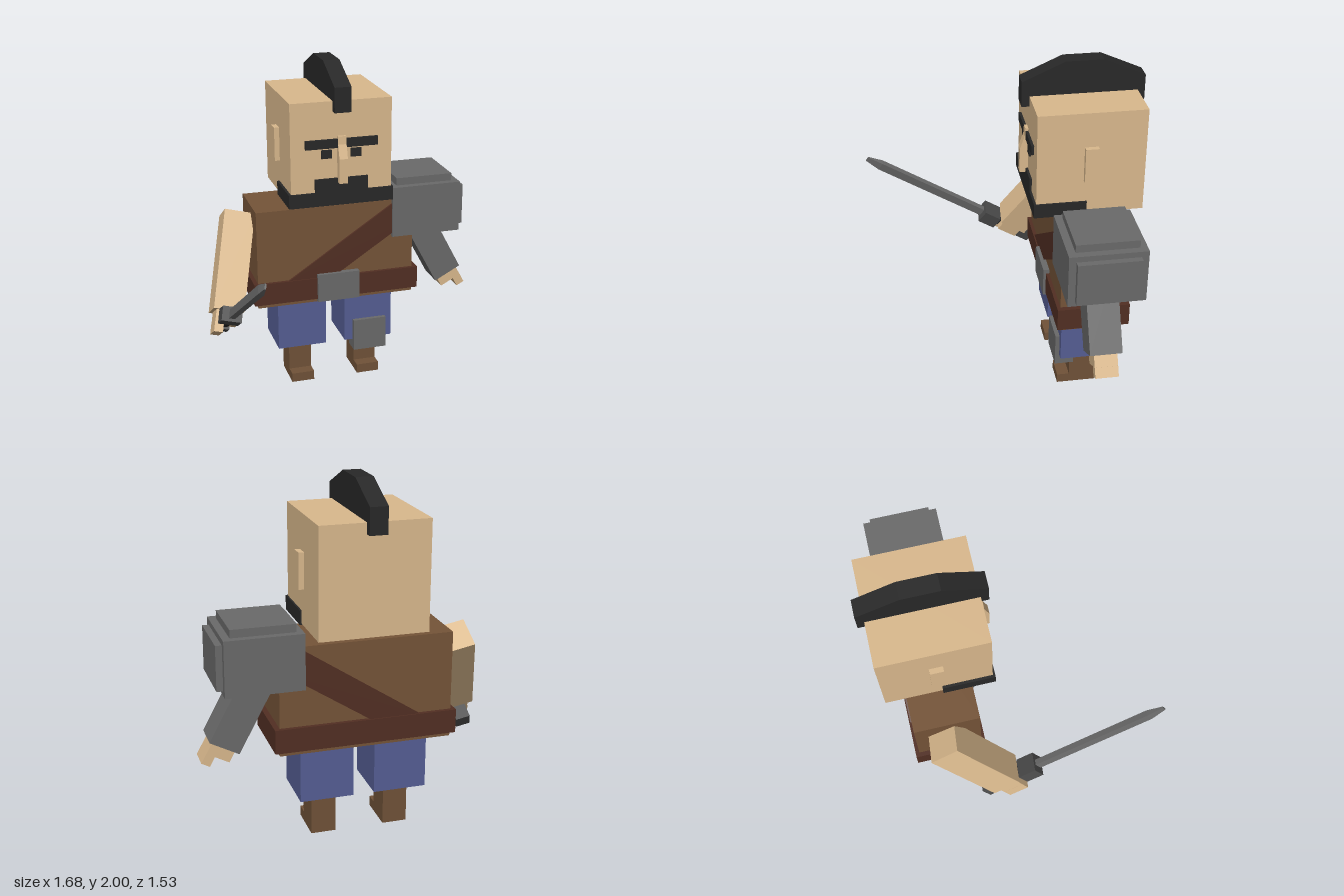
import * as THREE from 'three';

const mat = (color) => new THREE.MeshStandardMaterial({ color, flatShading: true });
const skin = mat(0xdab98d), leather = mat(0x755438), belt = mat(0x522f23);
const cloth = mat(0x555e94), steel = mat(0x6a6a6a), black = mat(0x282828);
const boot = mat(0x705238), iron = mat(0x4a4a4a);

// Box given by its extents on each axis
function box(parent, name, material, x0, x1, y0, y1, z0, z1) {
  const m = new THREE.Mesh(new THREE.BoxGeometry(x1 - x0, y1 - y0, z1 - z0), material);
  m.position.set((x0 + x1) / 2, (y0 + y1) / 2, (z0 + z1) / 2);
  m.name = name;
  parent.add(m);
  return m;
}

const extrude = (pts, depth) => new THREE.ExtrudeGeometry(
  new THREE.Shape(pts.map(([x, y]) => new THREE.Vector2(x, y))), { depth, bevelEnabled: false });

// Side profile of [z, y] points, extruded from x0 to x1
function sideProfile(parent, name, material, pts, x0, x1) {
  const g = extrude(pts.map(([z, y]) => [-z, y]), x1 - x0);
  g.rotateY(Math.PI / 2);
  g.translate(x0, 0, 0);
  const m = new THREE.Mesh(g, material);
  m.name = name;
  parent.add(m);
}

// Arm hanging down -y, with the wrist at the local origin; side = +1 left, -1 right
function arm(name, material, length, side) {
  const a = new THREE.Group();
  a.name = name;
  box(a, 'armSleeve', material, -0.09, 0.09, 0, length, -0.09, 0.09);
  box(a, 'palm', skin, -0.07, 0.07, -0.07, 0, -0.065, 0.065);
  const f = side * 0.045;
  box(a, 'fingers', skin, f - 0.026, f + 0.026, -0.13, -0.07, -0.065, 0.065);
  return a;
}

function buildHead(root) {
  const head = new THREE.Group();
  head.name = 'head';
  root.add(head);
  box(head, 'skull', skin, -0.345, 0.255, 1.205, 1.81, -0.72, -0.12);
  box(head, 'rightEar', skin, -0.375, -0.34, 1.41, 1.61, -0.455, -0.38);
  box(head, 'leftEar', skin, 0.25, 0.285, 1.41, 1.61, -0.455, -0.38);
  box(head, 'eyebrows', black, -0.26, 0.17, 1.54, 1.592, -0.14, -0.105);
  for (const x of [-0.135, 0.04]) box(head, 'eye', black, x - 0.031, x + 0.031, 1.48, 1.53, -0.14, -0.11);
  sideProfile(head, 'nose', skin,
    [[-0.14, 1.335], [-0.073, 1.335], [-0.073, 1.48], [-0.1, 1.56], [-0.103, 1.607], [-0.14, 1.607]], -0.07, -0.02);
  box(head, 'moustache', black, -0.205, 0.11, 1.27, 1.36, -0.14, -0.107);
  box(head, 'beardBand', black, -0.36, 0.265, 1.198, 1.28, -0.4, -0.107);
  sideProfile(head, 'mohawk', black,
    [[-0.077, 1.75], [-0.077, 1.895], [-0.315, 2], [-0.525, 2], [-0.76, 1.895], [-0.76, 1.75]], -0.095, 0.003);
}

function buildTorso(root) {
  const torso = new THREE.Group();
  torso.name = 'torso';
  root.add(torso);
  box(torso, 'neck', leather, -0.225, 0.135, 1.14, 1.21, -0.57, -0.27);
  box(torso, 'tunic', leather, -0.53, 0.435, 0.545, 1.15, -0.605, -0.235);
  box(torso, 'belt', belt, -0.555, 0.465, 0.57, 0.705, -0.627, -0.215);
  box(torso, 'buckle', steel, -0.17, 0.09, 0.555, 0.73, -0.26, -0.2);
  // Sash across chest and back
  const sash = extrude([[-0.35, 0.7], [-0.07, 0.7], [0.437, 1.03], [0.437, 1.15], [0.335, 1.15]], 0.02);
  for (const [name, z] of [['sashFront', -0.242], ['sashBack', -0.62]]) {
    const m = new THREE.Mesh(sash, belt);
    m.name = name;
    m.position.z = z;
    torso.add(m);
  }
}

function buildLegs(root) {
  for (const [side, x] of [['right', -0.255], ['left', 0.165]]) {
    const leg = new THREE.Group();
    leg.name = side + 'Leg';
    root.add(leg);
    box(leg, 'trouserLeg', cloth, x - 0.15, x + 0.15, 0.242, 0.56, -0.573, -0.27);
    sideProfile(leg, 'boot', boot,
      [[-0.5, 0], [-0.27, 0], [-0.27, 0.057], [-0.342, 0.057], [-0.342, 0.26], [-0.5, 0.26]], x - 0.07, x + 0.07);
  }
  box(root, 'kneePad', steel, 0.067, 0.275, 0.177, 0.378, -0.355, -0.245);
}

function buildLeftArm(root) {
  const a = arm('leftArm', steel, 0.52, 1);
  a.position.set(0.713, 0.585, -0.42);
  a.rotation.z = THREE.MathUtils.degToRad(28);
  root.add(a);
  const pauldron = new THREE.Group();
  pauldron.name = 'pauldron';
  root.add(pauldron);
  box(pauldron, 'pauldronBlock', steel, 0.3, 0.728, 0.92, 1.23, -0.637, -0.21);
  box(pauldron, 'pauldronTopPlate', steel, 0.337, 0.687, 1.2, 1.275, -0.597, -0.252);
  box(pauldron, 'pauldronSidePlate', steel, 0.7, 0.763, 0.948, 1.197, -0.597, -0.25);
}

// Sword lying along local z, gripped in the palm
function buildSword() {
  const sword = new THREE.Group();
  sword.name = 'sword';
  sword.position.y = -0.045;
  box(sword, 'pommel', iron, -0.042, 0.042, -0.04, 0.04, -0.175, -0.085);
  box(sword, 'grip', black, -0.027, 0.027, -0.027, 0.027, -0.09, 0.1);
  box(sword, 'guard', iron, -0.058, 0.058, -0.043, 0.043, 0.09, 0.205);
  box(sword, 'blade', steel, -0.017, 0.017, -0.026, 0.026, 0.2, 0.96);
  const tip = box(sword, 'bladeTip', steel, -0.017, 0.017, -0.026, 0.026, 0.96, 1.055);
  const p = tip.geometry.attributes.position;
  for (let i = 0; i < p.count; i++) {
    if (p.getZ(i) > 0) p.setXY(i, p.getX(i) * 0.25, p.getY(i) * 0.55);
  }
  tip.geometry.computeVertexNormals();
  return sword;
}

function buildRightArm(root) {
  const a = arm('rightArm', skin, 0.595, -1);
  a.add(buildSword());
  // Basis: local y runs back up the arm, local z along the blade
  const up = new THREE.Vector3(0.244, 0.807, -0.538).normalize();
  const across = new THREE.Vector3().crossVectors(up, new THREE.Vector3(0.05, 0.54, 0.84)).normalize();
  const blade = new THREE.Vector3().crossVectors(across, up);
  a.quaternion.setFromRotationMatrix(new THREE.Matrix4().makeBasis(across, up, blade));
  a.position.set(-0.742, 0.59, -0.143);
  root.add(a);
}

export function createModel() {
  const root = new THREE.Group();
  root.name = 'warrior';
  buildHead(root);
  buildTorso(root);
  buildLegs(root);
  buildLeftArm(root);
  buildRightArm(root);
  return root;
}
